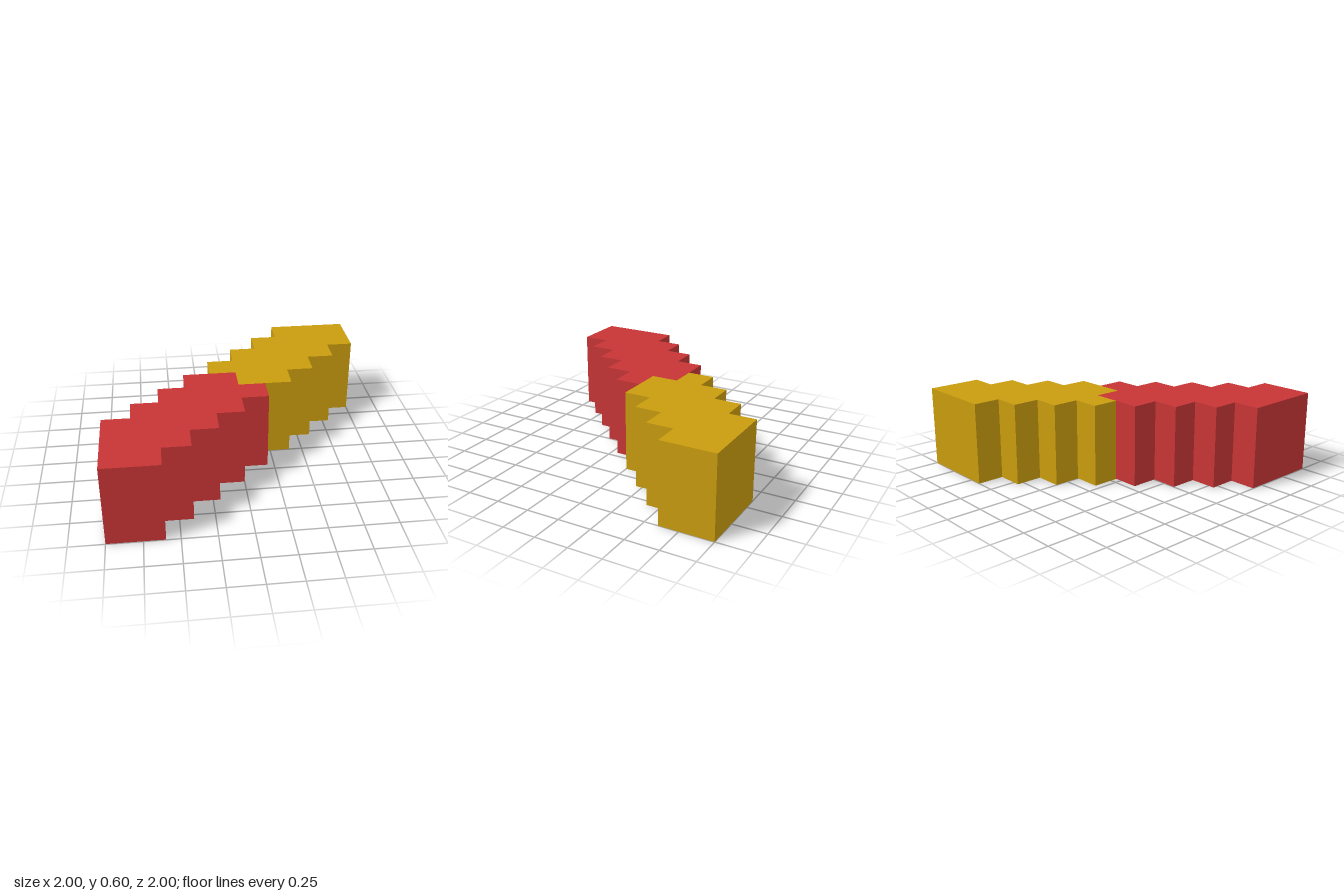
import * as THREE from 'three';

const STEP = 0.2;
const HEIGHT = 0.6;

// Stepped prism: each row is [left x, right x], rows run towards +z in equal steps
function steppedPrism(startZ, rows, bottom, top) {
  const right = [], left = [];
  rows.forEach(([x0, x1], i) => {
    const zNear = startZ + i * STEP, zFar = zNear + STEP;
    right.push(new THREE.Vector2(x1, -zNear), new THREE.Vector2(x1, -zFar));
    left.push(new THREE.Vector2(x0, -zNear), new THREE.Vector2(x0, -zFar));
  });
  const shape = new THREE.Shape([...right, ...left.reverse()]);
  const geometry = new THREE.ExtrudeGeometry(shape, { depth: top - bottom, bevelEnabled: false });
  geometry.rotateX(-Math.PI / 2);
  geometry.translate(0, bottom, 0);
  return geometry;
}

export function createModel() {
  const red = new THREE.MeshStandardMaterial({ color: 0xc73535 });
  red.name = 'red';
  const gold = new THREE.MeshStandardMaterial({ color: 0xc99b0e });
  gold.name = 'gold';

  const group = new THREE.Group();
  group.name = 'steppedBar';
  const add = (name, geometry, material) => {
    const mesh = new THREE.Mesh(geometry, material);
    mesh.name = name;
    group.add(mesh);
  };

  // Gold half at the back
  add('goldBar', steppedPrism(-1,
    [[0.4, 1], [0.2, 1], [0, 0.8], [-0.2, 0.6], [0, 0.4]], 0, HEIGHT), gold);

  // Red sleeve over the front half
  add('redSleeve', steppedPrism(-0.2,
    [[-0.4, 0], [-0.6, 0.2], [-0.8, 0], [-1, -0.2], [-1, -0.4], [-1, -0.6]], 0.002, HEIGHT), red);

  // Gold core showing on the underside of the sleeve
  add('coreUnderside', steppedPrism(-0.2,
    [[-0.2, 0], [-0.4, 0], [-0.6, -0.2], [-0.8, -0.4], [-0.8, -0.6]], 0, 0.008), gold);

  return group;
}
